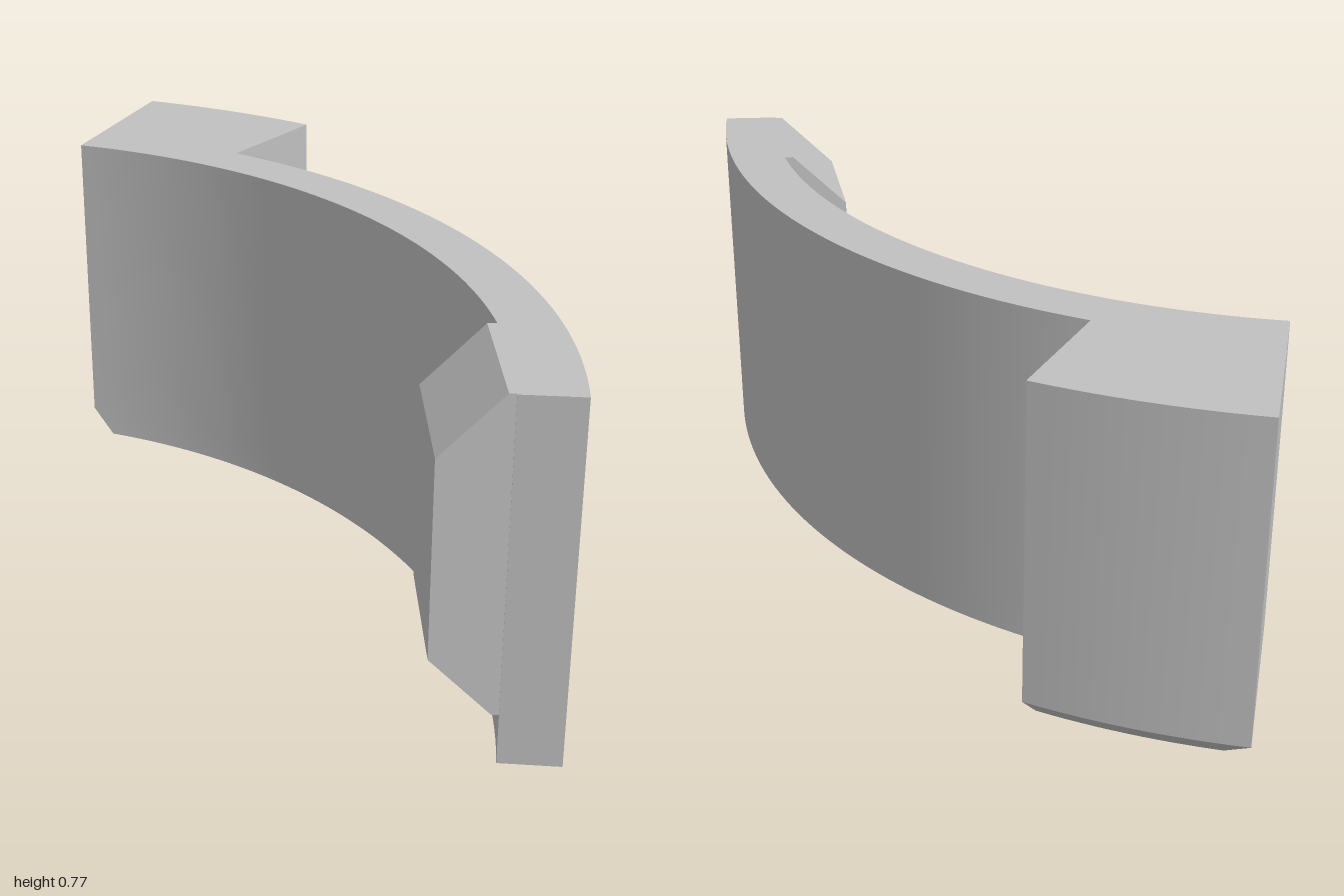
import * as THREE from 'three';
import { toCreasedNormals } from 'three/addons/utils/BufferGeometryUtils.js';

const HEIGHT = 0.775;
const CENTRE = [-1.125, 0.43]; // x, z of the shared arc centre

// Points along an arc about the centre, from a to b (both [x, z])
function arc(a, b, n) {
  const polar = ([x, z]) => [Math.hypot(x - CENTRE[0], z - CENTRE[1]), Math.atan2(z - CENTRE[1], x - CENTRE[0])];
  const [r0, t0] = polar(a), [r1, t1] = polar(b);
  return Array.from({ length: n + 1 }, (_, i) => {
    const k = i / n, r = r0 + (r1 - r0) * k, t = t0 + (t1 - t0) * k;
    return [CENTRE[0] + r * Math.cos(t), CENTRE[1] + r * Math.sin(t)];
  });
}

// Plan outline: thin curved wall with a thick block at its rear end
function outline(blockSide, blockBack, blockInner) {
  return [
    ...arc([0.235, 1], [0.003, -0.5], 40),
    ...arc(blockSide, blockBack, 12),
    ...arc(blockInner, [0.119, 0.953], 48),
  ];
}

// Walls between stacked outlines of equal length, closed by caps
function loft(layers) {
  const pos = [];
  const put = (layer, i) => pos.push(layer.pts[i][0], layer.y, layer.pts[i][1]);
  const n = layers[0].pts.length;
  for (let k = 0; k < layers.length - 1; k++) {
    const lo = layers[k], hi = layers[k + 1];
    for (let i = 0; i < n; i++) {
      const j = (i + 1) % n;
      put(lo, i); put(lo, j); put(hi, j);
      put(lo, i); put(hi, j); put(hi, i);
    }
  }
  const cap = (layer, flip) => {
    const flat = layer.pts.map(([x, z]) => new THREE.Vector2(x, -z));
    for (const [a, b, c] of THREE.ShapeUtils.triangulateShape(flat, [])) {
      for (const i of flip ? [a, c, b] : [a, b, c]) put(layer, i);
    }
  };
  cap(layers[0], true);
  cap(layers[layers.length - 1], false);
  const geo = new THREE.BufferGeometry();
  geo.setAttribute('position', new THREE.Float32BufferAttribute(pos, 3));
  geo.computeVertexNormals();
  return toCreasedNormals(geo, 0.35);
}

export function createModel() {
  const group = new THREE.Group();
  const grey = new THREE.MeshStandardMaterial({ color: 0xc0c0c0 });
  grey.name = 'grey';

  // Curved wall and end block, the block chamfered along its lower edges
  const full = outline([0.235, -0.68], [-0.093, -1], [-0.343, -0.67]);
  const foot = outline([0.183, -0.64], [-0.09, -0.915], [-0.303, -0.637]);
  const wall = new THREE.Mesh(loft([
    { y: 0, pts: foot },
    { y: 0.065, pts: full },
    { y: HEIGHT, pts: full },
  ]), grey);
  wall.name = 'curvedWallWithEndBlock';
  group.add(wall);

  // Tab with sloped top and bottom on the inside of the wall
  const profile = new THREE.Shape([
    [-0.03, 0.107], [0, 0.107], [0.124, 0.232], [0.124, 0.65], [0, HEIGHT], [-0.03, HEIGHT],
  ].map(([u, y]) => new THREE.Vector2(u, y)));
  const tabGeo = new THREE.ExtrudeGeometry(profile, { depth: 0.31, bevelEnabled: false });
  const along = new THREE.Vector3(0.26, 0, -0.9656);
  const inward = new THREE.Vector3(-0.9656, 0, -0.26);
  tabGeo.applyMatrix4(new THREE.Matrix4()
    .makeBasis(inward, new THREE.Vector3(0, 1, 0), along)
    .setPosition(0.107, 0, 0.945));
  const tab = new THREE.Mesh(tabGeo, grey);
  tab.name = 'innerTab';
  group.add(tab);

  return group;
}
